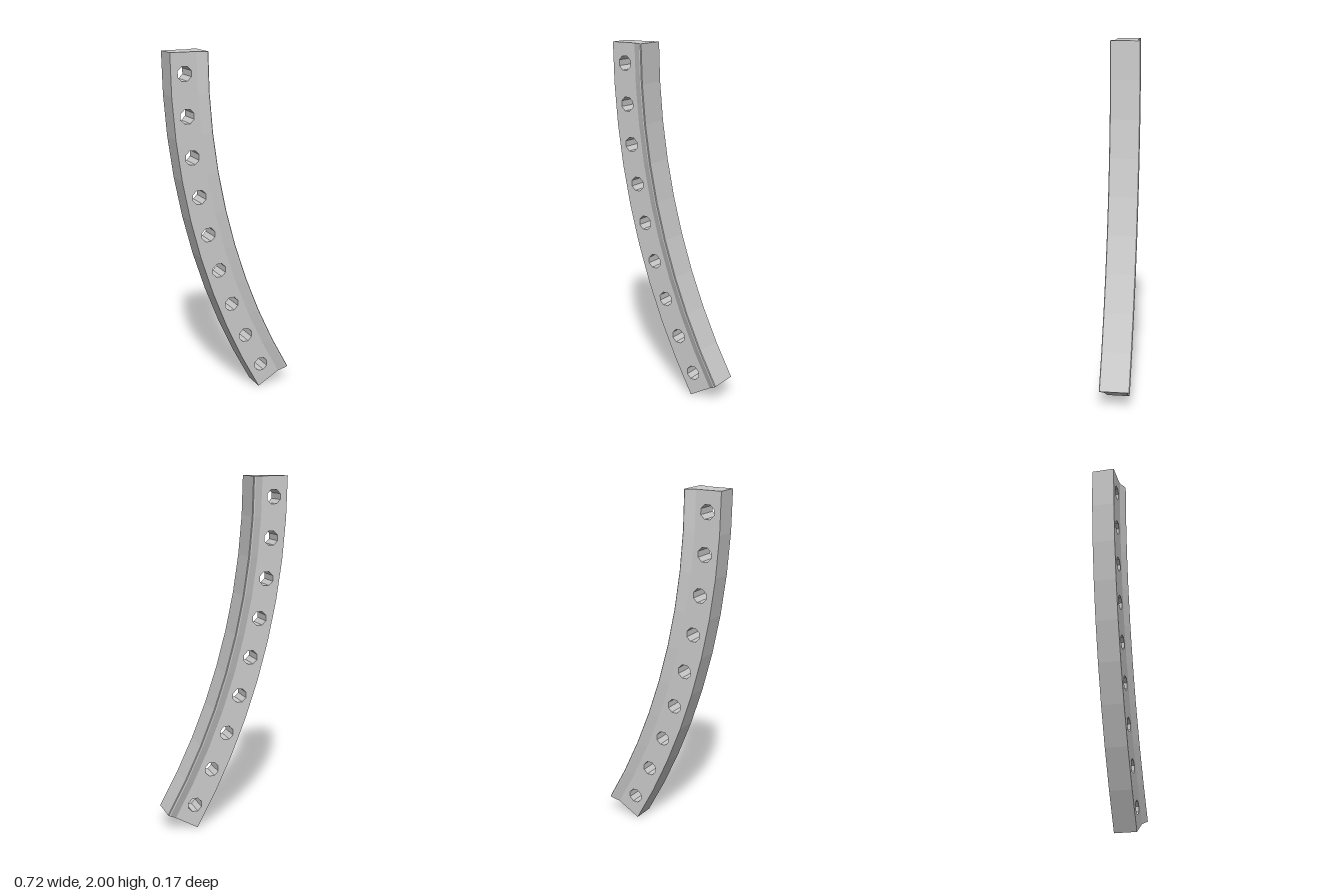
import * as THREE from 'three';

const CX = 3.64, CY = 2, SWEEP = Math.PI / 6, SEGMENTS = 9;
const WEB = 0.064; // half thickness of the drilled web

// point at radius r, t = 0 at the top end and 1 at the bottom end
function onArc(r, t) {
  const a = t * SWEEP;
  return new THREE.Vector2(CX - r * Math.cos(a), CY - r * Math.sin(a));
}

// curved plate with a row of octagonal holes
function webGeometry() {
  const outer = [], inner = [];
  for (let i = 0; i <= SEGMENTS; i++) {
    outer.push(onArc(4, i / SEGMENTS));
    inner.push(onArc(3.85, i / SEGMENTS));
  }
  const shape = new THREE.Shape([...outer, ...inner.reverse()]);
  for (let i = 0; i < SEGMENTS; i++) {
    const c = onArc(3.92, (i + 0.5) / SEGMENTS);
    const ring = [];
    for (let k = 0; k < 8; k++) {
      const a = (k + 0.5) * Math.PI / 4;
      ring.push(new THREE.Vector2(c.x + 0.042 * Math.cos(a), c.y + 0.042 * Math.sin(a)));
    }
    shape.holes.push(new THREE.Path(ring));
  }
  const geo = new THREE.ExtrudeGeometry(shape, { depth: 2 * WEB, bevelEnabled: false });
  return geo.translate(0, 0, -WEB);
}

// flared flange: a cross-section (radius, z) swept along the arc
function flangeGeometry() {
  const half = [[3.85, WEB], [3.803, 0.087], [3.794, 0.087], [3.79, 0.083]];
  const section = [...half, ...half.map(([r, z]) => [r, -z]).reverse()];
  const n = section.length, pos = [], idx = [];
  for (let i = 0; i <= SEGMENTS; i++) {
    for (const [r, z] of section) {
      const p = onArc(r, i / SEGMENTS);
      pos.push(p.x, p.y, z);
    }
  }
  for (let i = 0; i < SEGMENTS; i++) {
    for (let j = 0; j < n - 1; j++) {
      const a = i * n + j, b = a + n;
      idx.push(a, b, a + 1, a + 1, b, b + 1);
    }
  }
  // end caps
  const last = SEGMENTS * n;
  for (let j = 1; j < n - 1; j++) {
    idx.push(0, j, j + 1, last, last + j + 1, last + j);
  }
  const geo = new THREE.BufferGeometry();
  geo.setAttribute('position', new THREE.Float32BufferAttribute(pos, 3));
  geo.setIndex(idx);
  const flat = geo.toNonIndexed();
  flat.computeVertexNormals();
  return flat;
}

export function createModel() {
  const group = new THREE.Group();
  group.name = 'curvedRail';
  const material = new THREE.MeshStandardMaterial({ color: 0xcccccc, flatShading: true });
  const add = (name, geo) => {
    const mesh = new THREE.Mesh(geo, material);
    mesh.name = name;
    group.add(mesh);
  };
  add('drilledWeb', webGeometry());
  add('flaredFlange', flangeGeometry());
  return group;
}
